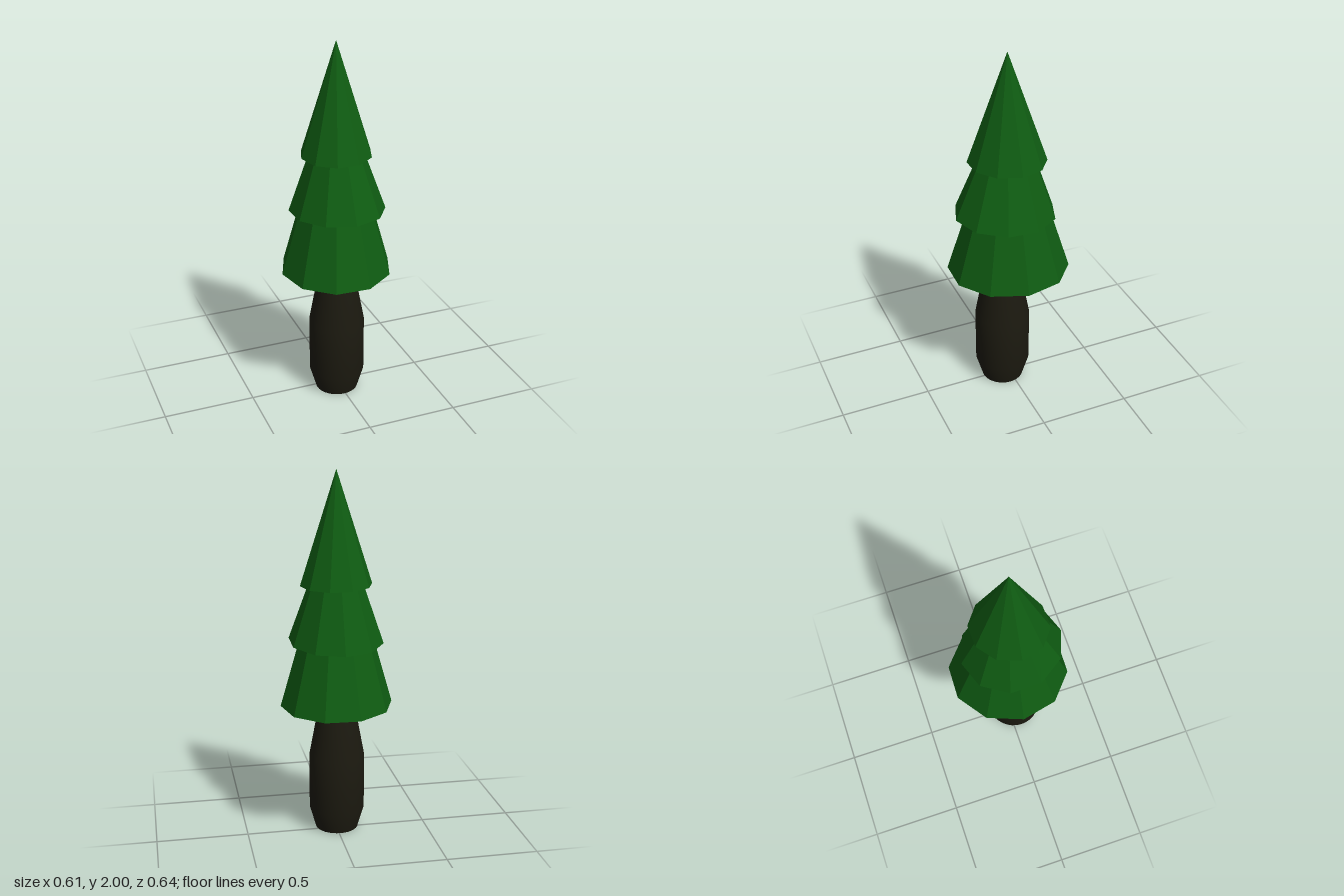
import * as THREE from 'three';
import { toCreasedNormals } from 'three/addons/utils/BufferGeometryUtils.js';

const bark = new THREE.MeshStandardMaterial({ color: 0x1c1a10 });
const needles = new THREE.MeshStandardMaterial({ color: 0x0f5c12, flatShading: true });

// A ten-sided tapering tier. The unit ring is stretched along the skewed axes a and b ([x, z]),
// the centre drifts in z from bottom to top, and the lower rim may tilt along z.
function makeTier({ name, y0, y1, a, b, topScale, start, z0, z1, tilt = 0 }) {
  const geometry = new THREE.CylinderGeometry(topScale, 1, 1, 10, 1, false, start);
  const p = geometry.attributes.position;
  for (let i = 0; i < p.count; i++) {
    const u = p.getX(i), v = p.getZ(i), t = p.getY(i) + 0.5;
    const x = u * a[0] + v * b[0];
    const z = u * a[1] + v * b[1];
    const y = THREE.MathUtils.lerp(y0 + tilt * z, y1, t);
    p.setXYZ(i, x, y, z + THREE.MathUtils.lerp(z0, z1, t));
  }
  const flat = geometry.toNonIndexed();
  flat.computeVertexNormals();
  const mesh = new THREE.Mesh(flat, needles);
  mesh.name = name;
  return mesh;
}

export function createModel() {
  const group = new THREE.Group();
  group.name = 'pineTree';

  // Trunk: round, narrowed at the foot and under the branches
  const profile = [[0, 0], [0.117, 0], [0.152, 0.12], [0.152, 0.43], [0.092, 0.75], [0, 0.75]];
  const lathe = new THREE.LatheGeometry(profile.map(([r, y]) => new THREE.Vector2(r, y)), 32);
  const trunk = new THREE.Mesh(toCreasedNormals(lathe, 0.6), bark);
  trunk.name = 'trunk';
  trunk.position.set(-0.008, 0, 0.033);
  group.add(trunk);

  // Foliage: three overlapping tiers, the middle one turned half a facet
  const halfFacet = Math.PI / 10;
  group.add(
    makeTier({
      name: 'lowerFoliage', y0: 0.737, y1: 1.12, a: [0.305, 0.01], b: [-0.026, 0.331],
      topScale: 0.64, start: halfFacet, z0: 0, z1: 0,
    }),
    makeTier({
      name: 'middleFoliage', y0: 1.086, y1: 1.42, a: [0.256, 0], b: [0, 0.279],
      topScale: 0.54, start: 0, z0: 0.018, z1: 0.01, tilt: 0.054,
    }),
    makeTier({
      name: 'upperFoliage', y0: 1.395, y1: 2, a: [0.195, -0.004], b: [-0.01, 0.207],
      topScale: 0, start: halfFacet, z0: 0.006, z1: 0.004,
    }),
  );
  return group;
}
